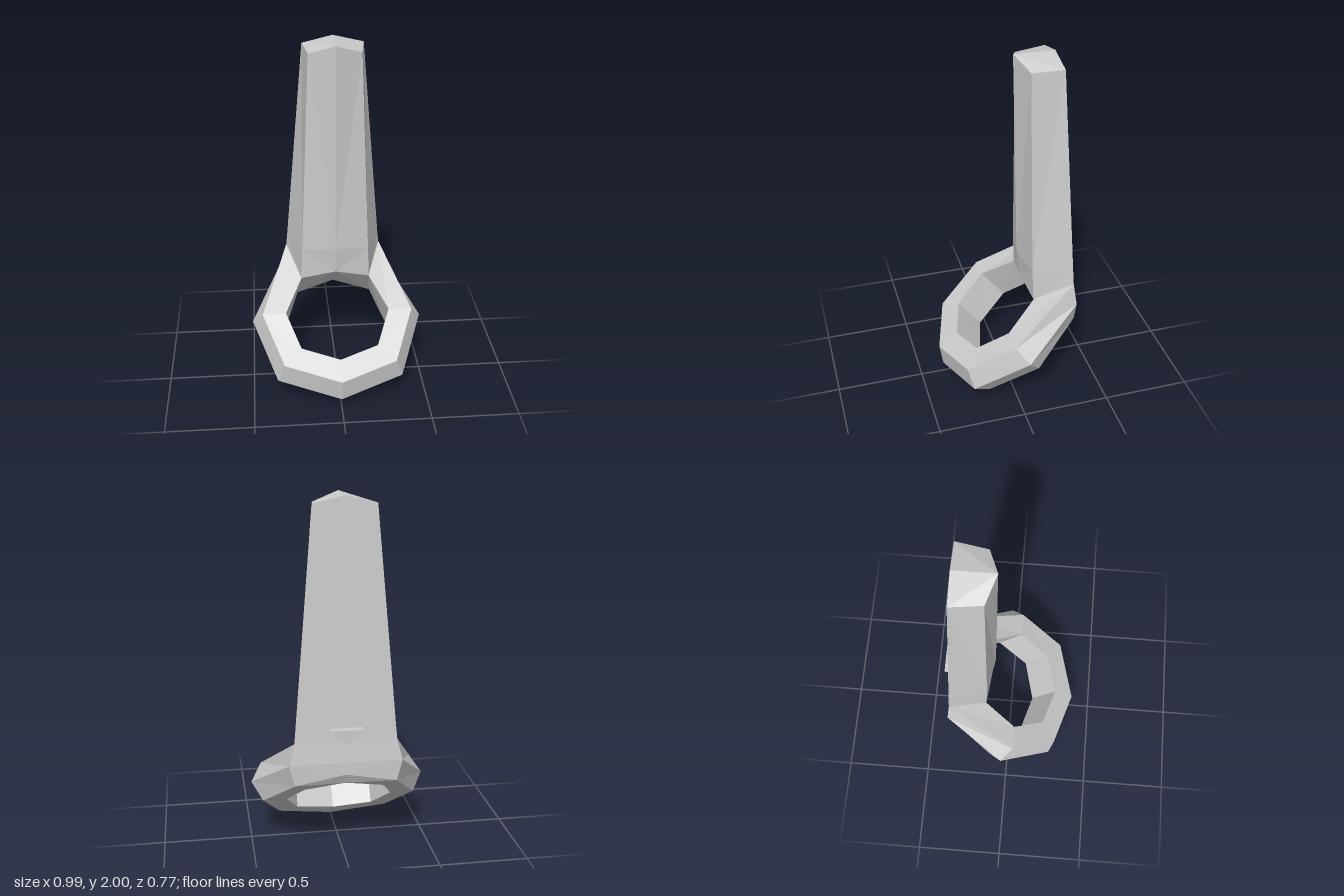
import * as THREE from 'three';

const material = new THREE.MeshStandardMaterial({ color: 0xcccccc, flatShading: true });

// Collects quads on the +x half and mirrors each one to -x
function mirroredMesh(name, quads) {
  const pos = [];
  for (const [a, b, c, d] of quads) {
    for (const p of [a, b, c, a, c, d]) pos.push(...p);
    for (const [x, y, z] of [a, c, b, a, d, c]) pos.push(-x, y, z);
  }
  const geo = new THREE.BufferGeometry();
  geo.setAttribute('position', new THREE.Float32BufferAttribute(pos, 3));
  geo.computeVertexNormals();
  const mesh = new THREE.Mesh(geo, material);
  mesh.name = name;
  return mesh;
}

export function createModel() {
  const group = new THREE.Group();
  group.name = 'ringHandle';

  // Ring sections from front centre round to back centre:
  // top outer, middle outer, bottom outer, bottom inner, top inner
  const ring = [
    [[0, 0.19, 0.385], [0, 0.06, 0.365], [0, 0, 0.25], [0, 0.09, 0.135], [0, 0.27, 0.275]],
    [[0.32, 0.255, 0.29], [0.36, 0.135, 0.26], [0.32, 0.075, 0.16], [0.22, 0.135, 0.075], [0.22, 0.315, 0.21]],
    [[0.435, 0.445, 0.04], [0.495, 0.36, -0.03], [0.435, 0.27, -0.1], [0.3, 0.27, -0.1], [0.3, 0.45, 0.04]],
    [[0.28, 0.7, -0.345], [0.31, 0.58, -0.357], [0.28, 0.46, -0.355], [0.22, 0.4, -0.275], [0.2, 0.58, -0.135]],
    [[0, 0.7, -0.345], [0, 0.58, -0.355], [0, 0.51, -0.355], [0, 0.45, -0.325], [0, 0.63, -0.11]],
  ];
  const ringQuads = [];
  for (let s = 0; s < 4; s++) {
    for (let k = 0; k < 5; k++) {
      if (s === 3 && k === 4) continue; // the shaft stands here
      const n = (k + 1) % 5;
      ringQuads.push([ring[s][k], ring[s][n], ring[s + 1][n], ring[s + 1][k]]);
    }
  }
  group.add(mirroredMesh('ring', ringQuads));

  // Shaft levels: front centre, front side, back side, back centre
  const shaft = [
    [ring[4][4], ring[3][4], ring[3][0], ring[4][0]],
    [[0, 0.79, -0.092], [0.193, 0.77, -0.127], [0.274, 0.76, -0.342], [0, 0.76, -0.342]],
    [[0, 2, -0.062], [0.145, 1.95, -0.115], [0.17, 1.96, -0.287], [0, 2, -0.287]],
  ];
  const shaftQuads = [shaft[2]]; // peaked top
  for (let l = 0; l < 2; l++) {
    for (let j = 0; j < 3; j++) {
      shaftQuads.push([shaft[l][j], shaft[l][j + 1], shaft[l + 1][j + 1], shaft[l + 1][j]]);
    }
  }
  group.add(mirroredMesh('shaft', shaftQuads));

  // Small triangular stud on the back
  const triangle = new THREE.Shape([
    new THREE.Vector2(-0.09, 0.775), new THREE.Vector2(0, 0.69), new THREE.Vector2(0.09, 0.775),
  ]);
  const stud = new THREE.Mesh(
    new THREE.ExtrudeGeometry(triangle, { depth: 0.05, bevelEnabled: false }), material);
  stud.position.z = -0.385;
  stud.name = 'backStud';
  group.add(stud);

  return group;
}
